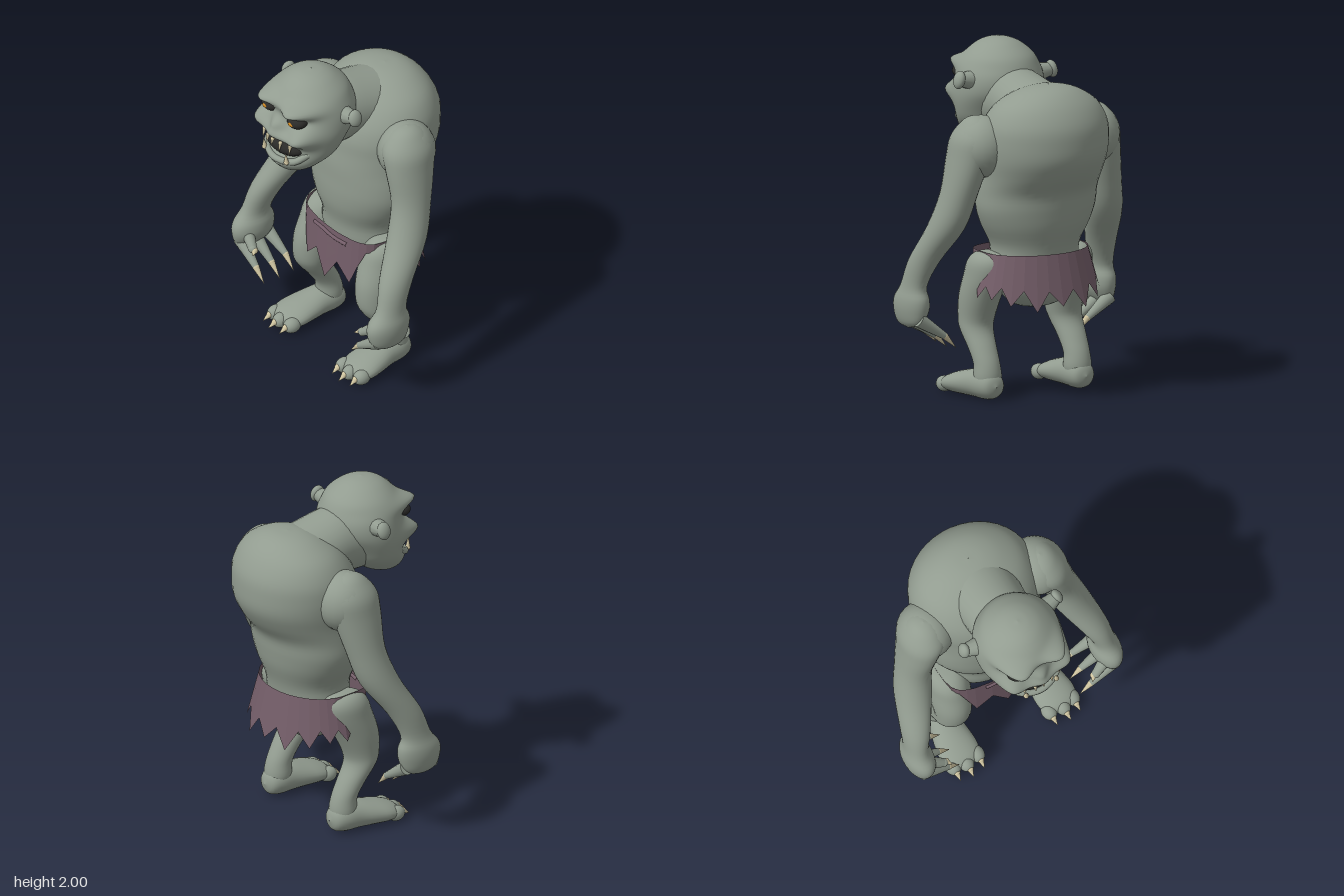
import * as THREE from 'three';

const mat = (color) => new THREE.MeshStandardMaterial({ color, roughness: 0.9 });
const V = (x, y, z) => new THREE.Vector3(x, y, z);

export function createModel() {
  const root = new THREE.Group();
  const skin = mat(0x929c90), cloth = mat(0x735d68), fold = mat(0x735d68), bone = mat(0xcfc4a0);
  const dark = mat(0x2b2b29), amber = mat(0xc98420);
  cloth.side = THREE.DoubleSide;
  cloth.flatShading = true;

  const add = (name, geo, material) => {
    const mesh = new THREE.Mesh(geo, material);
    mesh.name = name;
    root.add(mesh);
    return mesh;
  };

  // Smooth body through elliptical rings [x, y, z, radiusX, radiusOther].
  // axis 'y': rings lie flat, listed upward; axis 'z': rings stand, listed backward.
  const loft = (name, rings, axis = 'y', sides = 28, steps = 4, sculpt = (p) => p) => {
    const centres = new THREE.CatmullRomCurve3(rings.map((r) => V(r[0], r[1], r[2])), false, 'catmullrom', 0.5);
    const radii = new THREE.CatmullRomCurve3(rings.map((r) => V(r[3], r[4], 0)), false, 'catmullrom', 0.5);
    const rows = (rings.length - 1) * steps;
    const pos = [], index = [];
    for (let i = 0; i <= rows; i++) {
      const c = centres.getPoint(i / rows), r = radii.getPoint(i / rows);
      const rx = Math.max(r.x, 0.0005), ro = Math.max(r.y, 0.0005);
      for (let j = 0; j < sides; j++) {
        const a = (j / sides) * Math.PI * 2;
        const u = rx * Math.sin(a), v = ro * Math.cos(a);
        pos.push(...sculpt(V(c.x + u, c.y + (axis === 'z' ? v : 0), c.z + (axis === 'y' ? v : 0))));
        if (i < rows) {
          const k = (j + 1) % sides, p = i * sides, q = p + sides;
          index.push(p + j, p + k, q + k, p + j, q + k, q + j);
        }
      }
    }
    const geo = new THREE.BufferGeometry();
    geo.setAttribute('position', new THREE.Float32BufferAttribute(pos, 3));
    geo.setIndex(index);
    geo.computeVertexNormals();
    return add(name, geo, skin);
  };

  const blob = (name, p, r, material = skin, rotZ = 0, rotY = 0) => {
    const mesh = add(name, new THREE.SphereGeometry(1, 24, 16), material);
    mesh.position.set(...p);
    mesh.scale.set(...r);
    mesh.rotation.set(0, rotY, rotZ);
  };

  // Tapered rod from a to b
  const rod = (name, a, b, r0, r1, material) => {
    const from = V(...a), to = V(...b), d = to.clone().sub(from);
    const mesh = add(name, new THREE.CylinderGeometry(r1, r0, d.length(), 12), material);
    mesh.position.copy(from).addScaledVector(d, 0.5);
    mesh.quaternion.setFromUnitVectors(V(0, 1, 0), d.normalize());
  };
  const claw = (name, a, b, r) => {
    rod(name, a, b, r, 0.001, bone);
    blob(name + 'Root', a, [r, r, r], bone);
  };
  const tube = (name, pts, r, material) =>
    add(name, new THREE.TubeGeometry(new THREE.CatmullRomCurve3(pts.map((p) => V(...p))), 24, r, 10), material);

  // Torso with hunched back
  loft('torso', [
    [0, 0.51, -0.14, 0, 0], [0, 0.54, -0.14, 0.14, 0.1], [0, 0.63, -0.13, 0.23, 0.18],
    [0, 0.76, -0.12, 0.265, 0.21], [0, 0.88, -0.125, 0.265, 0.225], [0, 1.0, -0.13, 0.325, 0.26],
    [0, 1.1, -0.135, 0.36, 0.275], [0, 1.2, -0.145, 0.365, 0.285], [0, 1.3, -0.18, 0.365, 0.32],
    [0, 1.4, -0.21, 0.375, 0.34], [0, 1.5, -0.22, 0.38, 0.34], [0, 1.6, -0.235, 0.365, 0.315],
    [0, 1.7, -0.25, 0.305, 0.25], [0, 1.77, -0.265, 0.2, 0.165], [0, 1.803, -0.27, 0.1, 0.085],
    [0, 1.812, -0.27, 0, 0],
  ], 'y', 40);
  loft('neck', [
    [0, 1.64, 0.3, 0.16, 0.19], [0, 1.65, 0.16, 0.185, 0.195], [0, 1.655, 0.05, 0.192, 0.195],
    [0, 1.63, -0.1, 0.205, 0.19], [0, 1.58, -0.3, 0.22, 0.2],
  ], 'z');

  // Facial relief: [x, y, z, spreadX, spreadY, pushX, pushZ]; off-centre bumps are mirrored
  const relief = [
    [0.13, 1.845, 0.43, 0.065, 0.026, 0.01, 0.095], // brow
    [0.12, 1.778, 0.45, 0.045, 0.025, 0, -0.025], // eye socket
    [0.165, 1.68, 0.42, 0.048, 0.042, 0.025, 0.075], // cheek
    [0, 1.66, 0.48, 0.09, 0.025, 0, 0.06], // upper lip
    [0, 1.72, 0.48, 0.035, 0.03, 0, 0.045], // nose
    [0, 1.575, 0.48, 0.1, 0.03, 0, -0.03], // mouth
    [0, 1.48, 0.49, 0.12, 0.03, 0, 0.035], // chin
  ];
  const sculptFace = (p) => {
    const out = p.clone();
    for (const [x, y, z, sx, sy, px, pz] of relief)
      for (const s of x ? [1, -1] : [1]) {
        const w = Math.exp(-(((p.x - s * x) / sx) ** 2 + ((p.y - y) / sy) ** 2 + ((p.z - z) / 0.15) ** 2) / 2);
        out.x += s * px * w;
        out.z += pz * w;
      }
    return out;
  };

  // Head
  loft('head', [
    [0, 1.398, 0.4, 0, 0], [0, 1.408, 0.39, 0.075, 0.07], [0, 1.44, 0.365, 0.14, 0.12],
    [0, 1.52, 0.315, 0.21, 0.175], [0, 1.6, 0.285, 0.242, 0.2], [0, 1.7, 0.25, 0.257, 0.235],
    [0, 1.8, 0.245, 0.248, 0.235], [0, 1.89, 0.25, 0.207, 0.205], [0, 1.955, 0.255, 0.138, 0.14],
    [0, 1.988, 0.255, 0.07, 0.075], [0, 2.0, 0.255, 0, 0],
  ], 'y', 96, 8, sculptFace);
  blob('mouth', [0, 1.572, 0.43], [0.148, 0.06, 0.09], dark);
  tube('lowerLip', [[-0.17, 1.56, 0.4], [-0.12, 1.51, 0.475], [0, 1.497, 0.517], [0.12, 1.51, 0.475], [0.17, 1.56, 0.4]], 0.02, skin);
  for (const [x, len] of [[-0.11, 0.06], [-0.05, 0.055], [0, 0.04], [0.06, 0.055], [0.12, 0.06]])
    claw('upperTooth', [x, 1.63, 0.53 - x * x * 2.2], [x, 1.63 - len, 0.54 - x * x * 2.2], 0.012);

  for (const s of [1, -1]) {
    // Eyes, tusks and ears
    blob('eye', [s * 0.12, 1.78, 0.445], [0.062, 0.04, 0.055], dark, s * 0.1, s * 0.25);
    blob('iris', [s * 0.118, 1.778, 0.487], [0.023, 0.015, 0.018], amber);
    claw('tusk', [s * 0.1, 1.51, 0.51], [s * 0.1, 1.575, 0.515], 0.015);
    rod('earBase', [s * 0.2, 1.775, 0.2], [s * 0.31, 1.79, 0.18], 0.06, 0.036, skin);
    blob('ear', [s * 0.308, 1.79, 0.18], [0.03, 0.052, 0.042], skin, s * 0.25);

    // Arm down to the palm
    loft('arm', [
      [s * 0.64, 0.4, 0.19, 0, 0], [s * 0.633, 0.43, 0.19, 0.05, 0.1], [s * 0.622, 0.5, 0.19, 0.082, 0.135],
      [s * 0.622, 0.57, 0.185, 0.083, 0.135], [s * 0.62, 0.65, 0.165, 0.066, 0.095], [s * 0.588, 0.8, 0.105, 0.083, 0.105],
      [s * 0.525, 1.0, -0.02, 0.105, 0.12], [s * 0.48, 1.2, -0.085, 0.103, 0.12], [s * 0.435, 1.4, -0.11, 0.115, 0.15],
      [s * 0.4, 1.52, -0.125, 0.13, 0.16], [s * 0.385, 1.6, -0.13, 0.095, 0.11], [s * 0.385, 1.638, -0.13, 0.05, 0.055],
      [s * 0.385, 1.65, -0.13, 0, 0],
    ]);
    blob('shoulder', [s * 0.365, 1.47, -0.14], [0.165, 0.178, 0.17]);

    // Fingers and thumb
    for (const [z, lift] of [[0.28, 0.01], [0.17, 0], [0.07, 0.01]]) {
      const tip = [s * 0.475, 0.345 + lift, z];
      rod('finger', [s * 0.635, 0.46, z * 0.85 + 0.03], tip, 0.043, 0.02, skin);
      claw('fingerClaw', tip, [s * 0.4, 0.27 + lift, z], 0.02);
    }
    rod('thumb', [s * 0.6, 0.53, 0.25], [s * 0.505, 0.465, 0.28], 0.04, 0.025, skin);
    blob('thumbTip', [s * 0.505, 0.465, 0.28], [0.026, 0.026, 0.026]);
    claw('thumbClaw', [s * 0.49, 0.46, 0.28], [s * 0.465, 0.45, 0.31], 0.02);

    // Leg
    loft('leg', [
      [s * 0.305, 0.04, -0.1, 0.05, 0.06], [s * 0.3, 0.12, -0.105, 0.08, 0.08], [s * 0.3, 0.21, -0.095, 0.076, 0.075],
      [s * 0.3, 0.3, -0.045, 0.083, 0.082], [s * 0.297, 0.39, 0.015, 0.097, 0.092], [s * 0.29, 0.46, 0.028, 0.105, 0.108],
      [s * 0.284, 0.58, 0.0, 0.116, 0.135], [s * 0.275, 0.7, -0.05, 0.12, 0.15], [s * 0.275, 0.79, -0.075, 0.11, 0.14],
      [s * 0.275, 0.84, -0.085, 0.07, 0.09], [s * 0.27, 0.85, -0.085, 0, 0],
    ]);

    // Foot with three clawed toes
    loft('foot', [
      [s * 0.32, 0.05, 0.25, 0, 0], [s * 0.32, 0.055, 0.22, 0.09, 0.04], [s * 0.32, 0.066, 0.15, 0.118, 0.06],
      [s * 0.315, 0.078, 0.06, 0.11, 0.073], [s * 0.308, 0.088, -0.03, 0.094, 0.083], [s * 0.303, 0.09, -0.12, 0.086, 0.085],
      [s * 0.3, 0.085, -0.18, 0.06, 0.06], [s * 0.3, 0.085, -0.202, 0, 0],
    ], 'z');
    for (const [x, z] of [[0.24, 0.205], [0.32, 0.22], [0.395, 0.2]]) {
      blob('toe', [s * x, 0.052, z], [0.044, 0.045, 0.055]);
      claw('toeClaw', [s * x, 0.055, z + 0.045], [s * (x + 0.003), 0.03, z + 0.09], 0.019);
    }
  }

  // Ragged loincloth: [degrees from front, hem height], mirrored to both sides
  const hem = [
    [0, 0.51], [17, 0.655], [37, 0.56], [48, 0.69], [60, 0.79], [72, 0.79], [84, 0.73], [95, 0.6],
    [104, 0.67], [114, 0.6], [123, 0.67], [134, 0.57], [145, 0.655], [157, 0.535], [168, 0.645], [180, 0.56],
  ];
  const full = [...hem, ...hem.slice(1, -1).reverse().map(([a, y]) => [360 - a, y])];
  const pos = [], index = [], rows = 3;
  full.forEach(([deg, low], j) => {
    const a = (deg * Math.PI) / 180, c = Math.cos(a);
    for (let i = 0; i <= rows; i++) {
      const y = 0.85 + (low - 0.85) * (i / rows), drop = 0.85 - y;
      // flat flap in front, flared skirt behind
      const rx = c > 0 ? 0.32 : 0.325 + drop * 0.28;
      const z = c > 0 ? (0.25 + drop * 0.08) * c ** 0.4 : (0.255 + drop * 0.22) * c;
      pos.push(Math.sin(a) * rx, y, z - 0.115);
      if (i < rows) {
        const p = j * (rows + 1) + i, q = ((j + 1) % full.length) * (rows + 1) + i;
        index.push(p, p + 1, q + 1, p, q + 1, q);
      }
    }
  });
  const skirt = new THREE.BufferGeometry();
  skirt.setAttribute('position', new THREE.Float32BufferAttribute(pos, 3));
  skirt.setIndex(index);
  skirt.computeVertexNormals();
  add('loincloth', skirt, cloth);
  tube('clothFold', [[-0.13, 0.805, 0.128], [-0.06, 0.813, 0.137], [0.05, 0.803, 0.137], [0.16, 0.803, 0.125]], 0.012, fold);

  return root;
}
